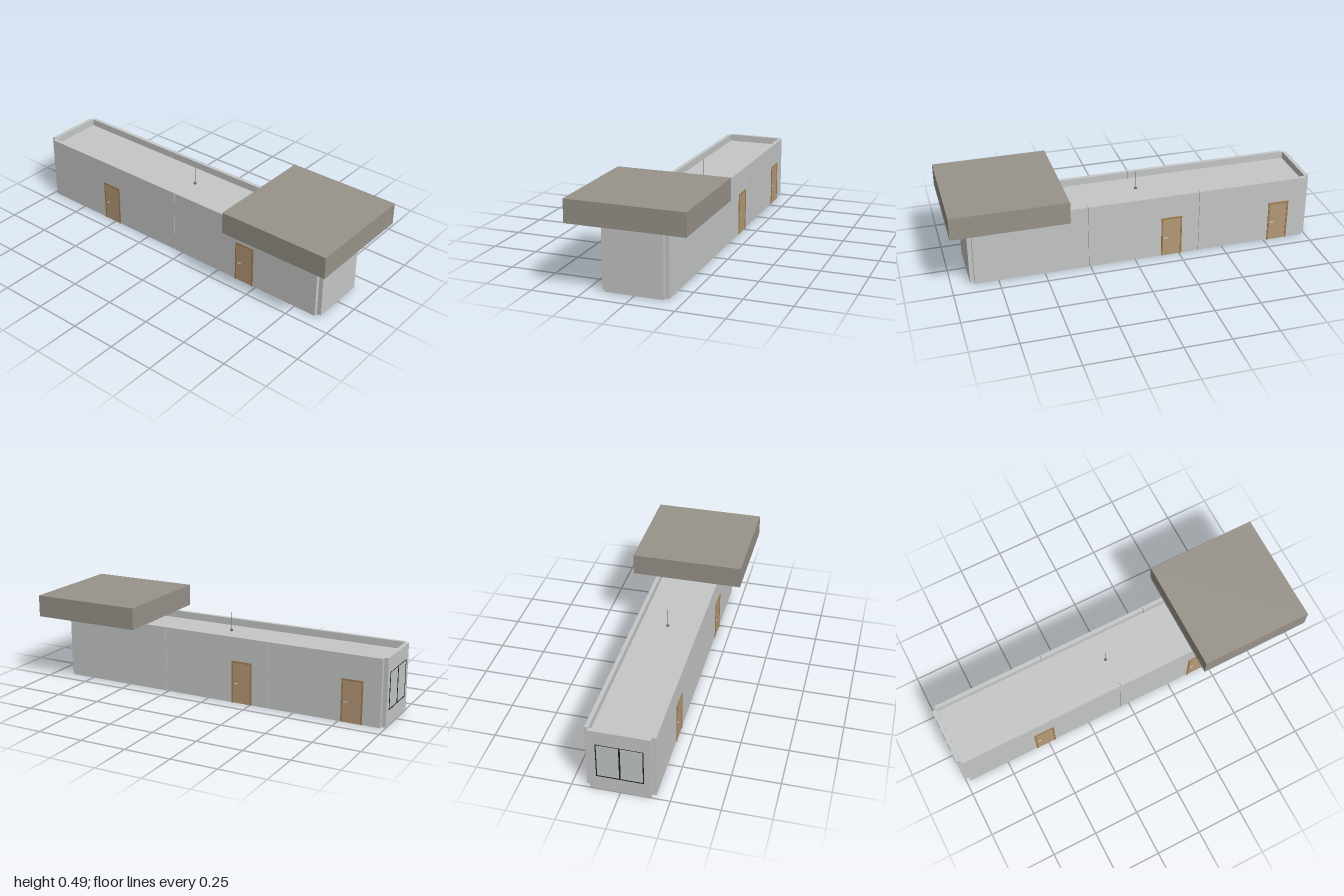
import * as THREE from 'three';

const mat = (name, color) => Object.assign(new THREE.MeshStandardMaterial({ color }), { name });

export function createModel() {
  const wall = mat('wall grey', 0xc5c7c6);
  const taupe = mat('canopy taupe', 0x98938a);
  const wood = mat('door wood', 0xb59a78);
  const frameWood = mat('door frame wood', 0xa37e52);
  const metal = mat('handle metal', 0xd8d8d8);
  const black = mat('window frame black', 0x1c1e1d);
  const pane = mat('window pane', 0xc3c8c6);
  const lampGrey = mat('lamp grey', 0x6a6c6c);

  const model = new THREE.Group();
  model.name = 'corridorBuilding';

  // Box given by its min and max on each axis
  const box = (parent, name, material, x0, x1, y0, y1, z0, z1) => {
    const m = new THREE.Mesh(new THREE.BoxGeometry(x1 - x0, y1 - y0, z1 - z0), material);
    m.position.set((x0 + x1) / 2, (y0 + y1) / 2, (z0 + z1) / 2);
    m.name = name;
    parent.add(m);
    return m;
  };

  // Floor and sunken roof deck
  const IN = 0.155, OUT = 0.176, FRONT = 0.877, BACK = -0.978, TOP = 0.365, BASE = 0.003;
  box(model, 'floor', taupe, -IN, IN, 0, BASE, BACK, FRONT);
  box(model, 'roofDeck', wall, -IN, IN, 0.318, 0.326, BACK, FRONT);

  // End walls, stopping short of the outer corners to leave notches
  box(model, 'frontWall', wall, -IN, IN, BASE, TOP, FRONT, 0.9);
  box(model, 'backWall', wall, -IN, IN, BASE, TOP, -1, BACK);

  // Side walls in panels with fine joints: three on the left, two on the right
  const sideWall = (name, x0, x1, count) => {
    const step = (FRONT - BACK) / count, gap = 0.001;
    for (let i = 0; i < count; i++) {
      const z0 = BACK + i * step + (i > 0 ? gap : 0);
      const z1 = BACK + (i + 1) * step - (i < count - 1 ? gap : 0);
      box(model, name, wall, x0, x1, BASE, TOP, z0, z1);
    }
  };
  sideWall('leftWallPanel', IN, OUT, 3);
  sideWall('rightWallPanel', -OUT, -IN, 2);

  // Door built facing +z, then turned onto a side wall
  const addDoor = (side, z) => {
    const door = new THREE.Group();
    door.name = 'door';
    const w = 0.058, h = 0.235, t = 0.009;
    box(door, 'doorPanel', wood, -w + t, w - t, BASE, h - t, -0.004, 0.0015);
    for (const s of [-1, 1]) {
      const c = s * (w - t / 2);
      box(door, 'doorJamb', frameWood, c - t / 2, c + t / 2, BASE, h, -0.004, 0.004);
    }
    box(door, 'doorHead', frameWood, -w + t, w - t, h - t, h, -0.004, 0.004);
    box(door, 'doorHandle', metal, -w + 0.014, -w + 0.034, 0.109, 0.114, 0, 0.004);
    door.position.set(side * OUT, 0, z);
    door.rotation.y = side * Math.PI / 2;
    model.add(door);
  };
  for (const z of [-0.204, -0.824]) addDoor(1, z);
  for (const z of [-0.515, 0.427]) addDoor(-1, z);

  // Two-pane window on the back wall
  const win = new THREE.Group();
  win.name = 'backWindow';
  model.add(win);
  const wx = 0.12, y0 = 0.085, y1 = 0.285, b = 0.005;
  for (const s of [-1, 1]) {
    const c = s * wx / 2;
    box(win, 'windowPane', pane, c - wx / 2, c + wx / 2, y0, y1, -1.0008, -0.998);
    const j = s * (wx - b / 2);
    box(win, 'windowJamb', black, j - b / 2, j + b / 2, y0, y1, -1.002, -0.998);
  }
  box(win, 'windowMullion', black, -0.004, 0.004, y0, y1, -1.002, -0.998);
  box(win, 'windowSill', black, -wx, wx, y0, y0 + b, -1.002, -0.998);
  box(win, 'windowHead', black, -wx, wx, y1 - b / 2, y1, -1.002, -0.998);

  // Flat canopy: two slabs with a fascia between them
  const canopy = new THREE.Group();
  canopy.name = 'canopy';
  model.add(canopy);
  const C = 0.31, f = 0.015, zb = 0.383, zf = 1;
  box(canopy, 'canopyTop', taupe, -C, C, 0.472, 0.485, zb, zf);
  box(canopy, 'canopyBottom', taupe, -C, C, TOP, 0.379, zb, zf);
  for (const s of [-1, 1]) {
    const c = s * (C - f / 2);
    box(canopy, 'canopySide', taupe, c - f / 2, c + f / 2, 0.379, 0.472, zb, zf);
  }
  box(canopy, 'canopyFront', taupe, -C + f, C - f, 0.379, 0.472, zf - f, zf - 0.001);
  box(canopy, 'canopyBack', taupe, -C + f, C - f, 0.379, 0.472, zb + 0.001, zb + f);

  // Small globe lamp with a thin rod above the deck
  const lamp = new THREE.Group();
  lamp.name = 'lamp';
  lamp.position.set(0, 0, -0.052);
  const globe = new THREE.Mesh(new THREE.SphereGeometry(0.008, 16, 12), lampGrey);
  globe.name = 'lampGlobe';
  globe.position.y = 0.347;
  const rod = new THREE.Mesh(new THREE.CylinderGeometry(0.0012, 0.0012, 0.095, 8), lampGrey);
  rod.name = 'lampRod';
  rod.position.y = 0.3985;
  lamp.add(globe, rod);
  model.add(lamp);

  return model;
}
